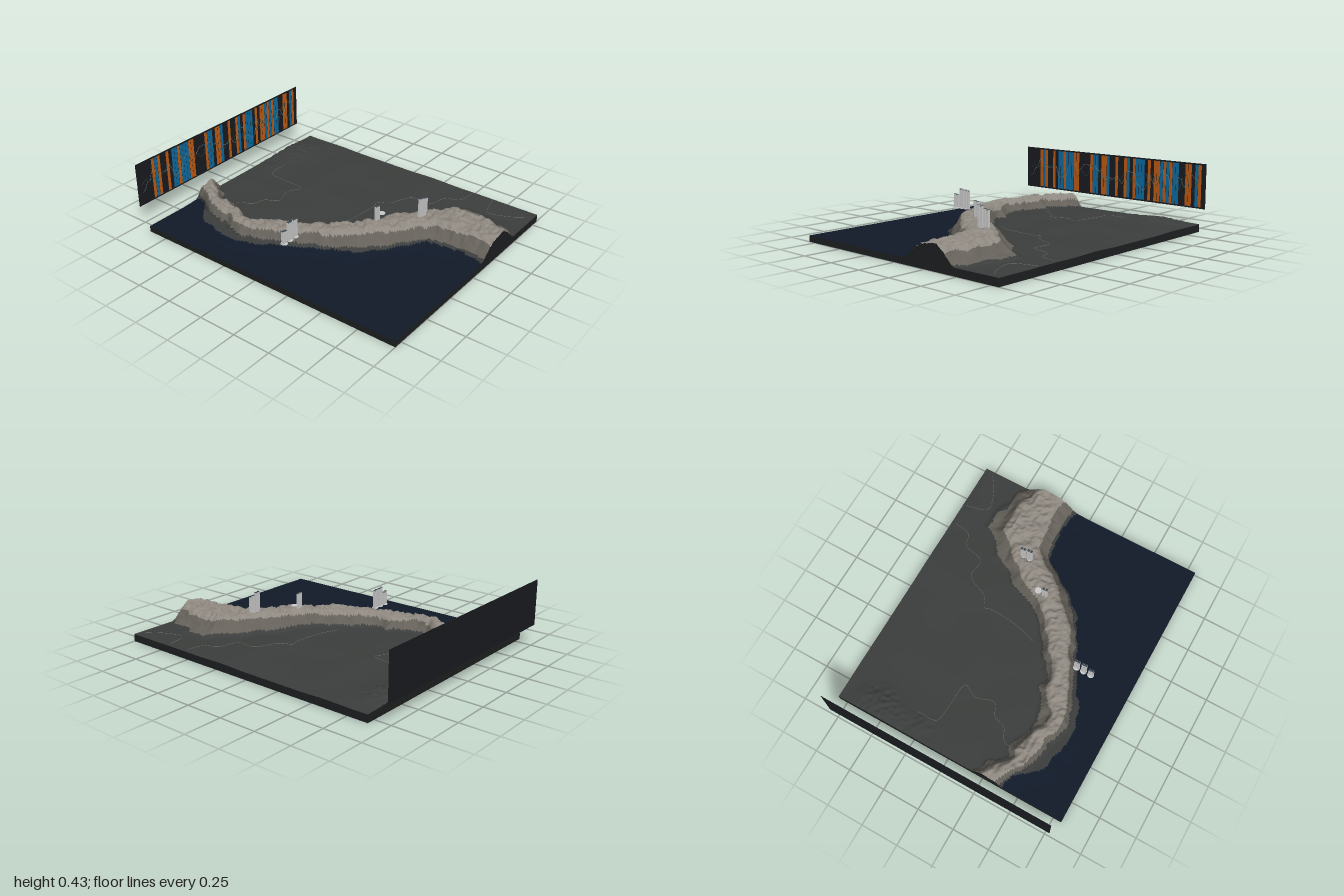
import * as THREE from 'three';
import { mergeGeometries } from 'three/addons/utils/BufferGeometryUtils.js';

const X0 = -0.806, X1 = 0.806, Z0 = -0.89, Z1 = 1.0;
const NX = 170, NZ = 200;

// z, coast x, west foot x, east foot x, crest height
const RANGE = [
  [-0.89, -0.39, -0.38, -0.15, 0.125], [-0.8, -0.42, -0.42, -0.23, 0.12],
  [-0.69, -0.54, -0.48, -0.31, 0.12], [-0.5, -0.6, -0.53, -0.36, 0.12],
  [-0.35, -0.62, -0.57, -0.37, 0.12], [-0.2, -0.55, -0.52, -0.3, 0.115],
  [0, -0.44, -0.43, -0.2, 0.135], [0.2, -0.33, -0.33, -0.03, 0.145],
  [0.32, -0.28, -0.26, 0.2, 0.15], [0.45, -0.13, -0.12, 0.4, 0.15],
  [0.6, 0.08, 0.08, 0.57, 0.15], [0.8, 0.12, 0.12, 0.54, 0.15], [1, 0.1, 0.11, 0.49, 0.15],
];

function rangeAt(z) {
  let k = 0;
  while (k < RANGE.length - 2 && z > RANGE[k + 1][0]) k++;
  const a = RANGE[k], b = RANGE[k + 1], t = (z - a[0]) / (b[0] - a[0]);
  return a.map((v, i) => v + (b[i] - v) * t);
}

const hash = (i, j) => {
  let n = (Math.imul(i, 374761393) + Math.imul(j, 668265263)) | 0;
  n = Math.imul(n ^ (n >>> 13), 1274126177);
  return ((n ^ (n >>> 16)) >>> 0) / 4294967296;
};

// Smooth value noise in 0..1
function noise(x, y) {
  const i = Math.floor(x), j = Math.floor(y);
  const u = THREE.MathUtils.smoothstep(x - i, 0, 1), v = THREE.MathUtils.smoothstep(y - j, 0, 1);
  const { lerp } = THREE.MathUtils;
  return lerp(lerp(hash(i, j), hash(i + 1, j), u), lerp(hash(i, j + 1), hash(i + 1, j + 1), u), v);
}

// Ground height and surface class: 0 sea, 1 lowland, 2 foothill, 3 highland
function ground(x, z) {
  const { smoothstep } = THREE.MathUtils;
  let [, coast, west, east, crest] = rangeAt(z);
  const wobble = (noise(x * 14 + 40, z * 14) - 0.5) * 0.05;
  coast += wobble * 0.7;
  west += wobble * 0.6;
  east += wobble * 1.5;
  if (x < coast) {
    const shelf = smoothstep(x, coast - 0.14, coast);
    return { y: 0.04 + 0.006 * shelf, kind: 0 };
  }
  const t = (x - west) / (east - west);
  const body = smoothstep(t, -0.05, 0.3) * (1 - smoothstep(t, 0.6, 1.08));
  const ridge = 1 - Math.abs(2 * noise(x * 26, z * 26) - 1);
  const fine = 1 - Math.abs(2 * noise(x * 55 + 9, z * 55) - 1);
  let y = 0.05 + (noise(x * 5, z * 5) - 0.5) * 0.006;
  y += body * ((crest - 0.05) * 0.8 + ridge * 0.022 + fine * 0.012);
  // Low hills in the far right corner
  const hills = Math.exp(-(((x - 0.45) / 0.22) ** 2) - ((z + 0.8) / 0.12) ** 2);
  y += hills * (0.008 + 0.035 * ridge * noise(x * 9, z * 9));
  return { y, kind: body > 0.75 ? 3 : body > 0.15 ? 2 : 1 };
}

const mat = (color, extra = {}) => new THREE.MeshStandardMaterial({ color, roughness: 0.9, ...extra });

function add(parent, name, geometry, material, x = 0, y = 0, z = 0) {
  const mesh = new THREE.Mesh(geometry, material);
  mesh.name = name;
  mesh.position.set(x, y, z);
  parent.add(mesh);
  return mesh;
}

// Thin tube along straight segments
function wire(points, radius) {
  const path = new THREE.CurvePath();
  for (let i = 1; i < points.length; i++) path.add(new THREE.LineCurve3(points[i - 1], points[i]));
  return new THREE.TubeGeometry(path, points.length * 4, radius, 4);
}

function buildTerrain() {
  const group = new THREE.Group();
  group.name = 'terrain';
  const pos = [], kinds = [], faces = [[], [], [], []];
  for (let j = 0; j <= NZ; j++) {
    for (let i = 0; i <= NX; i++) {
      const x = X0 + (X1 - X0) * i / NX, z = Z0 + (Z1 - Z0) * j / NZ;
      const g = ground(x, z);
      pos.push(x, g.y, z);
      kinds.push(g.kind);
    }
  }
  const at = (i, j) => j * (NX + 1) + i;
  for (let j = 0; j < NZ; j++) {
    for (let i = 0; i < NX; i++) {
      const a = at(i, j), b = at(i + 1, j), c = at(i, j + 1), d = at(i + 1, j + 1);
      faces[kinds[a]].push(a, c, b, b, c, d);
    }
  }
  const whole = new THREE.BufferGeometry();
  whole.setAttribute('position', new THREE.Float32BufferAttribute(pos, 3));
  whole.setIndex(faces.flat());
  whole.computeVertexNormals();
  const looks = [['sea', 0x111a29], ['lowland', 0x3b3e3c], ['foothills', 0x65615a], ['highland', 0x8f8981]];
  looks.forEach(([name, color], k) => {
    const part = new THREE.BufferGeometry();
    part.setAttribute('position', whole.attributes.position);
    part.setAttribute('normal', whole.attributes.normal);
    part.setIndex(faces[k]);
    add(group, name, part, mat(color));
  });

  // Side walls drop from the rim of the ground to the base
  const rim = [];
  for (let i = 0; i < NX; i++) rim.push(at(i, NZ));
  for (let j = NZ; j > 0; j--) rim.push(at(NX, j));
  for (let i = NX; i > 0; i--) rim.push(at(i, 0));
  for (let j = 0; j < NZ; j++) rim.push(at(0, j));
  const wallPos = [];
  const p = (k, low) => [pos[k * 3], low ? 0 : pos[k * 3 + 1], pos[k * 3 + 2]];
  rim.forEach((a, n) => {
    const b = rim[(n + 1) % rim.length];
    wallPos.push(...p(a, 1), ...p(b, 1), ...p(b, 0), ...p(a, 1), ...p(b, 0), ...p(a, 0));
  });
  const wall = new THREE.BufferGeometry();
  wall.setAttribute('position', new THREE.Float32BufferAttribute(wallPos, 3));
  wall.computeVertexNormals();
  add(group, 'sideWalls', wall, mat(0x1d1f20, { side: THREE.DoubleSide }));
  const floor = new THREE.PlaneGeometry(X1 - X0, Z1 - Z0).rotateX(Math.PI / 2);
  add(group, 'underside', floor, mat(0x0c0d0e), 0, 0, (Z0 + Z1) / 2);

  // Border lines draped over the ground
  const borders = [
    [[-0.37, -0.65], [-0.26, -0.63], [-0.21, -0.55], [-0.13, -0.52], [-0.08, -0.44], [0.05, -0.47], [0.14, -0.43], [0.16, -0.6], [0.18, -0.72], [0.32, -0.73]],
    [[-0.09, 0.04], [0.03, 0.08], [0.26, 0.1], [0.3, 0.09], [0.34, 0.16], [0.49, 0.24], [0.49, 0.37], [0.63, 0.42], [0.66, 0.5], [0.78, 0.53]],
    [[0.79, 0.68], [0.64, 0.73], [0.67, 0.86], [0.74, 0.97]],
  ];
  const lines = borders.map((line) => {
    const flat = new THREE.CatmullRomCurve3(line.map(([x, z]) => new THREE.Vector3(x, 0, z)));
    return wire(flat.getPoints(line.length * 6).map((v) => v.setY(ground(v.x, v.z).y + 0.001)), 0.0012);
  });
  add(group, 'borderLines', mergeGeometries(lines), mat(0x777a78));
  return group;
}

function buildChart() {
  const group = new THREE.Group();
  group.name = 'chartPanel';
  group.position.set(0, 0.28, -1);
  add(group, 'backing', new THREE.BoxGeometry(1.56, 0.3, 0.002), mat(0x191b20), 0, 0, 0.001);
  // One character per column: O orange, B blue, - empty
  const columns = 'OBO--O-BBOBBBOO----OBB-OOB--O--OB-OBBB-O-OOBOBOBB--OO-BO';
  const strip = new THREE.PlaneGeometry(0.0235, 0.28);
  const orange = mat(0xc05c12), blue = mat(0x0c6ca4);
  [...columns].forEach((c, i) => {
    if (c !== '-') add(group, c === 'O' ? 'orangeStripe' : 'blueStripe', strip, c === 'O' ? orange : blue, -0.64 + i * 0.025, 0, 0.003);
  });
  // Two wavering plot lines
  const plot = (seed, n, height) => {
    const pts = [];
    for (let i = 0; i <= n; i++) {
      const y = (noise(i * 0.45 + seed, seed) - 0.5) * height + (hash(i, seed) - 0.5) * 0.03;
      pts.push(new THREE.Vector3(-0.742 + 1.484 * i / n, y, 0.005));
    }
    return wire(pts, 0.0015);
  };
  add(group, 'paleLine', plot(3, 70, 0.16), mat(0x7d8782));
  add(group, 'darkLine', plot(11, 110, 0.13), mat(0x2f5148));
  return group;
}

function buildMarkers() {
  const group = new THREE.Group();
  group.name = 'markers';
  const pale = mat(0xcccccc), dark = mat(0x3a4650);
  const bar = new THREE.BoxGeometry(0.015, 1, 0.015);
  const disc = new THREE.CylinderGeometry(0.022, 0.022, 0.004, 20);
  // x, z, foot height, top height
  const pairs = [
    [-0.533, 0, 0.12, 0.21], [-0.482, 0, 0.12, 0.248], [-0.432, 0, 0.12, 0.245],
    [-0.025, 0.32, 0.14, 0.26], [0.185, 0.5, 0.145, 0.282], [0.235, 0.5, 0.145, 0.265],
  ];
  for (const [x, z, foot, top] of pairs) {
    const marker = new THREE.Group();
    marker.name = 'barMarker';
    marker.position.set(x, foot, z);
    group.add(marker);
    add(marker, 'baseDisc', disc, pale);
    for (const s of [-1, 1]) {
      const h = top - foot - (s > 0 ? 0.004 : 0);
      add(marker, 'bar', bar, pale, s * 0.0105, h / 2, 0).scale.y = h;
      add(marker, 'barCap', new THREE.BoxGeometry(0.015, 0.003, 0.015), dark, s * 0.0105, h, 0);
    }
  }
  add(group, 'loneDisc', disc, pale, 0.024, 0.185, 0.32);
  return group;
}

export function createModel() {
  const model = new THREE.Group();
  model.name = 'reliefMap';
  model.add(buildTerrain(), buildChart(), buildMarkers());
  return model;
}
